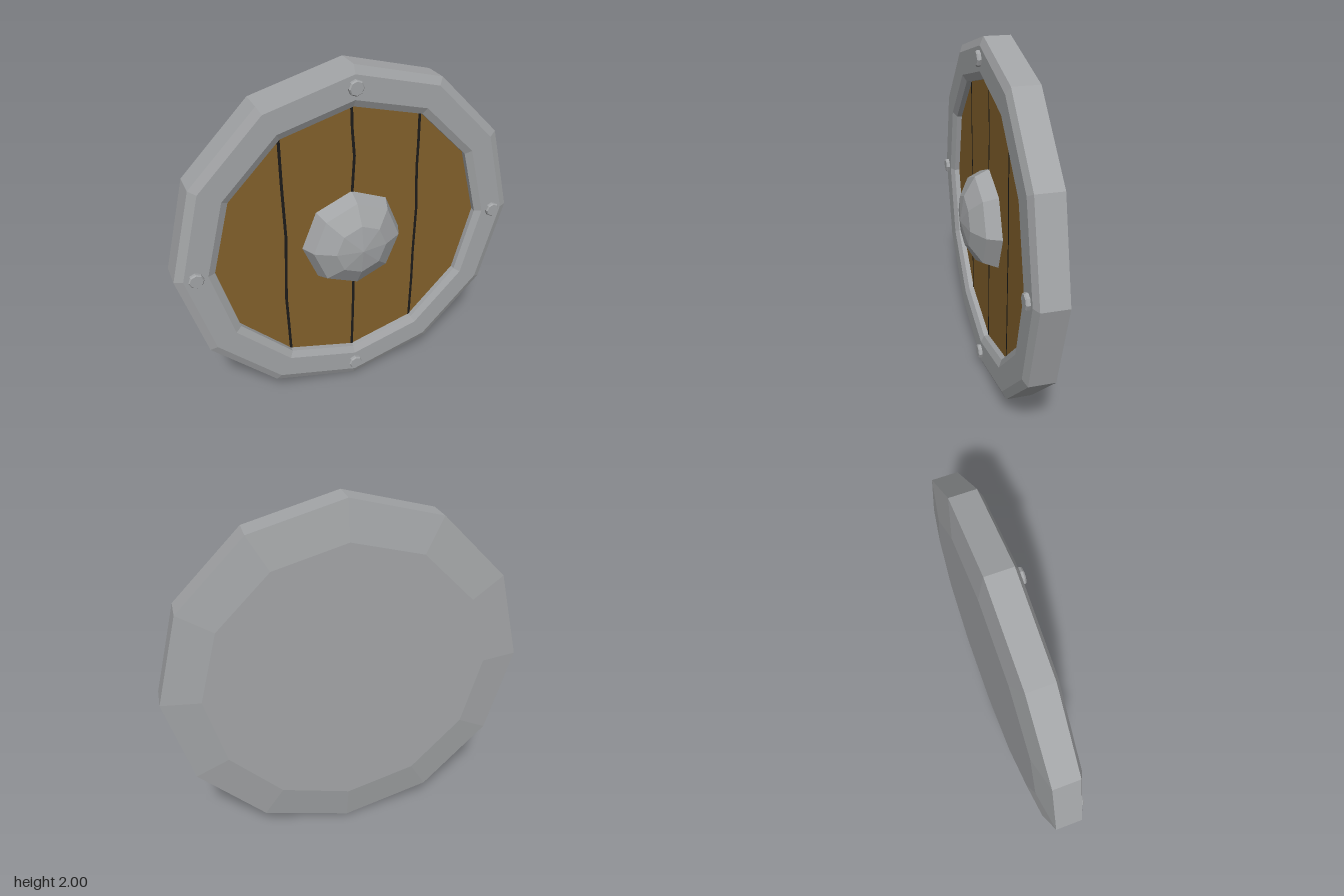
import * as THREE from 'three';

const metal = new THREE.MeshStandardMaterial({ name: 'grey metal', color: 0xa2a4a6 });
const wood = new THREE.MeshStandardMaterial({ name: 'brown wood', color: 0x82602b });
const dark = new THREE.MeshStandardMaterial({ name: 'dark groove', color: 0x1c1b1a });

const SIDES = 12, INNER = 0.785, WOOD_Z = -0.01;

// Faceted lathe whose axis points to the front (+z); profile is [radius, z]
function facetedLathe(name, profile, sides) {
  const points = profile.map(([r, z]) => new THREE.Vector2(r, z));
  const geometry = new THREE.LatheGeometry(points, sides).rotateX(Math.PI / 2).toNonIndexed();
  geometry.computeVertexNormals();
  const mesh = new THREE.Mesh(geometry, metal);
  mesh.name = name;
  return mesh;
}

function flatShape(name, outline, material, z) {
  const shape = new THREE.Shape(outline.map(([x, y]) => new THREE.Vector2(x, y)));
  const mesh = new THREE.Mesh(new THREE.ShapeGeometry(shape), material);
  mesh.name = name;
  mesh.position.z = z;
  return mesh;
}

export function createModel() {
  const shield = new THREE.Group();
  shield.name = 'roundShield';
  const body = new THREE.Group();
  body.name = 'shieldBody';
  body.position.y = 1;
  shield.add(body);

  // Metal back and bevelled rim in one shell
  body.add(facetedLathe('rimAndBack', [
    [0, -0.155], [0.79, -0.155], [1, -0.122], [1, 0.02],
    [0.955, 0.04], [0.825, 0.04], [INNER, 0.02], [INNER, -0.03],
  ], SIDES));

  // Wavy seams between planks, bottom to top; they end on corners of the rim
  const corner = (i) => {
    const a = (i / SIDES) * Math.PI * 2;
    return [INNER * Math.cos(a), INNER * Math.sin(a)];
  };
  const seams = [
    [corner(8), [-0.398, -0.45], [-0.402, -0.3], [-0.392, -0.1], [-0.383, 0.1], [-0.39, 0.4], corner(4)],
    [corner(9), [0.008, -0.5], [0.012, -0.3], [0.005, 0], [0.004, 0.3], [0.016, 0.5], [0.004, 0.65], corner(3)],
    [corner(10), [0.398, -0.4], [0.397, -0.2], [0.404, 0.1], [0.392, 0.35], [0.394, 0.5], corner(2)],
  ];

  // Four planks filling the recess
  const rightEdge = [corner(10), corner(11), corner(0), corner(1), corner(2)];
  const leftEdge = [corner(8), corner(7), corner(6), corner(5), corner(4)];
  const edges = [leftEdge, ...seams, rightEdge];
  for (let i = 0; i < 4; i++) {
    let outline = [...edges[i + 1], ...[...edges[i]].reverse()];
    // Outer planks share both end corners with their seam
    outline = outline.filter((p, k) => outline.findIndex((q) => Math.hypot(p[0] - q[0], p[1] - q[1]) < 1e-6) === k);
    body.add(flatShape('plank' + (i + 1), outline, wood, WOOD_Z));
  }

  // Dark grooves over the seams
  const half = 0.008;
  seams.forEach((seam, i) => {
    const outline = [
      ...seam.map(([x, y]) => [x + half, y]),
      ...[...seam].reverse().map(([x, y]) => [x - half, y]),
    ];
    body.add(flatShape('groove' + (i + 1), outline, dark, WOOD_Z + 0.003));
  });

  // Faceted central boss: a flattened half sphere
  const bossProfile = [0, 30, 60, 90].map((deg) => {
    const a = THREE.MathUtils.degToRad(deg);
    return [deg === 90 ? 0 : 0.295 * Math.cos(a), -0.015 + 0.17 * Math.sin(a)];
  });
  body.add(facetedLathe('boss', bossProfile, 8));

  // Four rivets around the rim
  for (let i = 0; i < 4; i++) {
    const a = (i * Math.PI) / 2;
    const rivet = facetedLathe('rivet' + (i + 1), [[0.042, 0.03], [0.042, 0.055], [0.036, 0.062], [0, 0.062]], 8);
    rivet.position.set(0.89 * Math.cos(a), 0.89 * Math.sin(a), 0);
    body.add(rivet);
  }
  return shield;
}
